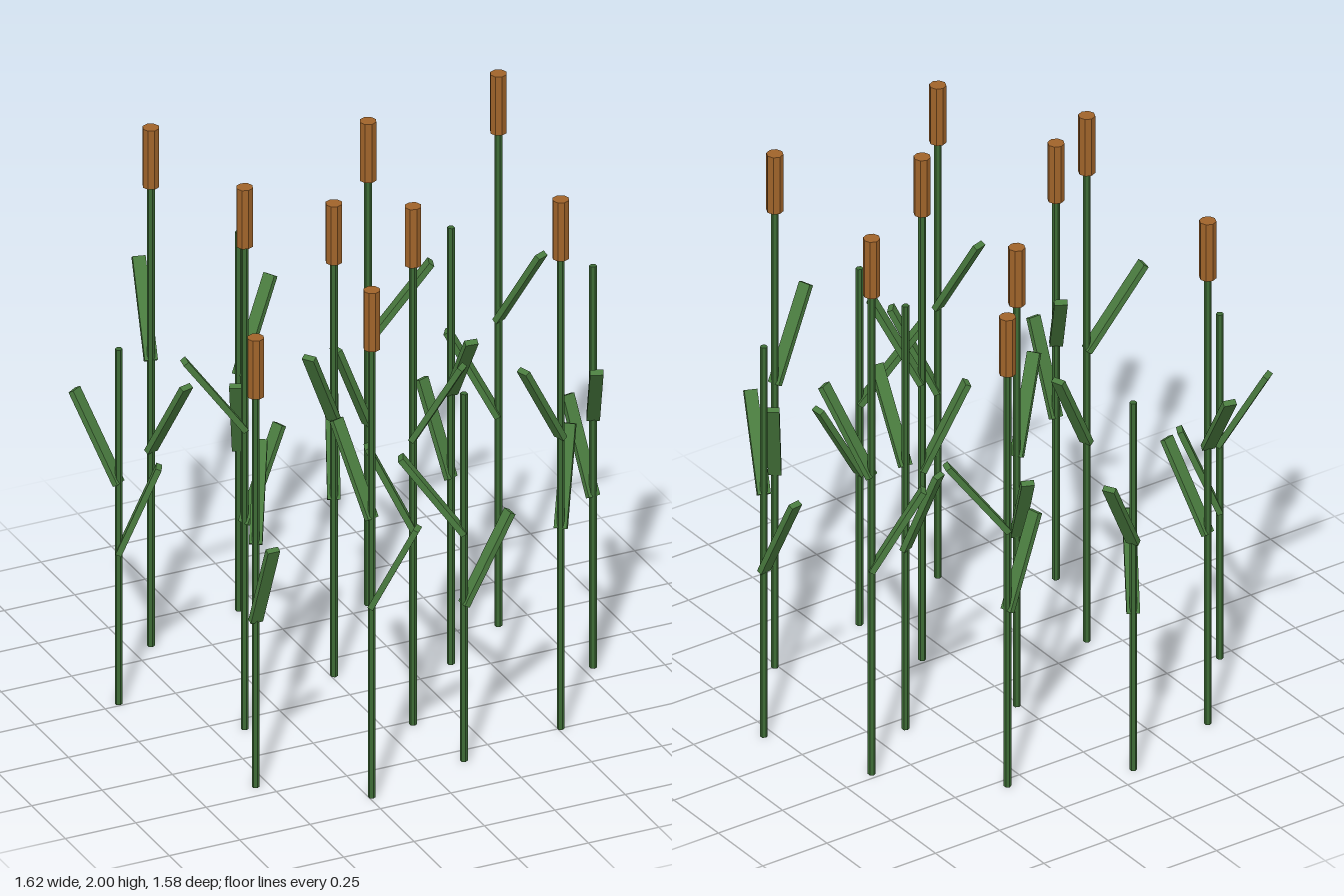
import * as THREE from 'three';

const HEAD_HEIGHT = 0.212;
const LEAF_LENGTH = 0.34;

// Each reed: x, z, stem height, has head, lower leaf reach (dx, dz), upper leaf reach (dx, dz)
const REEDS = [
  [-0.43, -0.58, 1.665, 1, [0.05, 0.17], [0.05, -0.2]],
  [0.32, -0.535, 1.54, 1, [-0.135, 0.03], [0.2, 0.065]],
  [0.635, -0.225, 1.788, 1, [-0.145, -0.095], [0.08, 0.165]],
  [0.01, -0.14, 1.5, 1, [0.07, -0.165], [-0.14, 0.1]],
  [-0.405, 0.065, 1.75, 1, [0.155, -0.055], [-0.205, -0.035]],
  [0.095, 0.27, 1.665, 1, [-0.145, -0.055], [0.12, 0.13]],
  [-0.545, 0.44, 1.415, 1, [0, 0.135], [0.105, -0.18]],
  [0.51, 0.5, 1.705, 1, [0.085, -0.11], [-0.165, 0.055]],
  [-0.24, 0.665, 1.625, 1, [0.12, 0.105], [-0.05, -0.17]],
  [-0.07, -0.68, 1.37, 0, [-0.075, 0.135], [0.16, -0.09]],
  [-0.695, -0.265, 1.285, 0, [0.12, 0.065], [-0.095, -0.145]],
  [0.385, -0.055, 1.58, 0, [-0.05, -0.125], [-0.02, 0.2]],
  [0.785, 0.165, 1.455, 0, [-0.025, -0.15], [-0.08, 0.195]],
  [0.135, 0.565, 1.33, 0, [0.175, -0.01], [-0.19, -0.09]],
];

export function createModel() {
  const model = new THREE.Group();
  model.name = 'reedBed';

  const paint = (color) => new THREE.MeshStandardMaterial({ color, flatShading: true });
  const stemMaterial = paint(0x3d6b35);
  const leafMaterial = paint(0x4a7c3f);
  const headMaterial = paint(0xa0642a);

  // Shared shapes, each standing on its own base
  const stemGeometry = new THREE.CylinderGeometry(0.0125, 0.0125, 1, 6).translate(0, 0.5, 0);
  const headGeometry = new THREE.CylinderGeometry(0.028, 0.028, HEAD_HEIGHT, 8).translate(0, HEAD_HEIGHT / 2, 0);
  const leafGeometry = new THREE.BoxGeometry(0.043, LEAF_LENGTH, 0.02).translate(0, LEAF_LENGTH / 2, 0);

  const add = (parent, name, geometry, material, y) => {
    const mesh = new THREE.Mesh(geometry, material);
    mesh.name = name;
    mesh.position.y = y;
    parent.add(mesh);
    return mesh;
  };

  // A straight blade leaning outwards from the stem
  const addLeaf = (parent, name, y, [dx, dz]) => {
    const leaf = add(parent, name, leafGeometry, leafMaterial, y);
    const reach = Math.hypot(dx, dz) - 0.007;
    leaf.rotation.set(Math.asin(reach / LEAF_LENGTH), Math.atan2(dx, dz), 0, 'YXZ');
  };

  for (const [x, z, height, hasHead, lower, upper] of REEDS) {
    const reed = new THREE.Group();
    reed.name = 'reed';
    reed.position.set(x, 0, z);
    add(reed, 'stem', stemGeometry, stemMaterial, 0).scale.y = height;
    addLeaf(reed, 'lowerLeaf', height * 0.425, lower);
    addLeaf(reed, 'upperLeaf', height * 0.62, upper);
    if (hasHead) add(reed, 'seedHead', headGeometry, headMaterial, height);
    model.add(reed);
  }
  return model;
}
